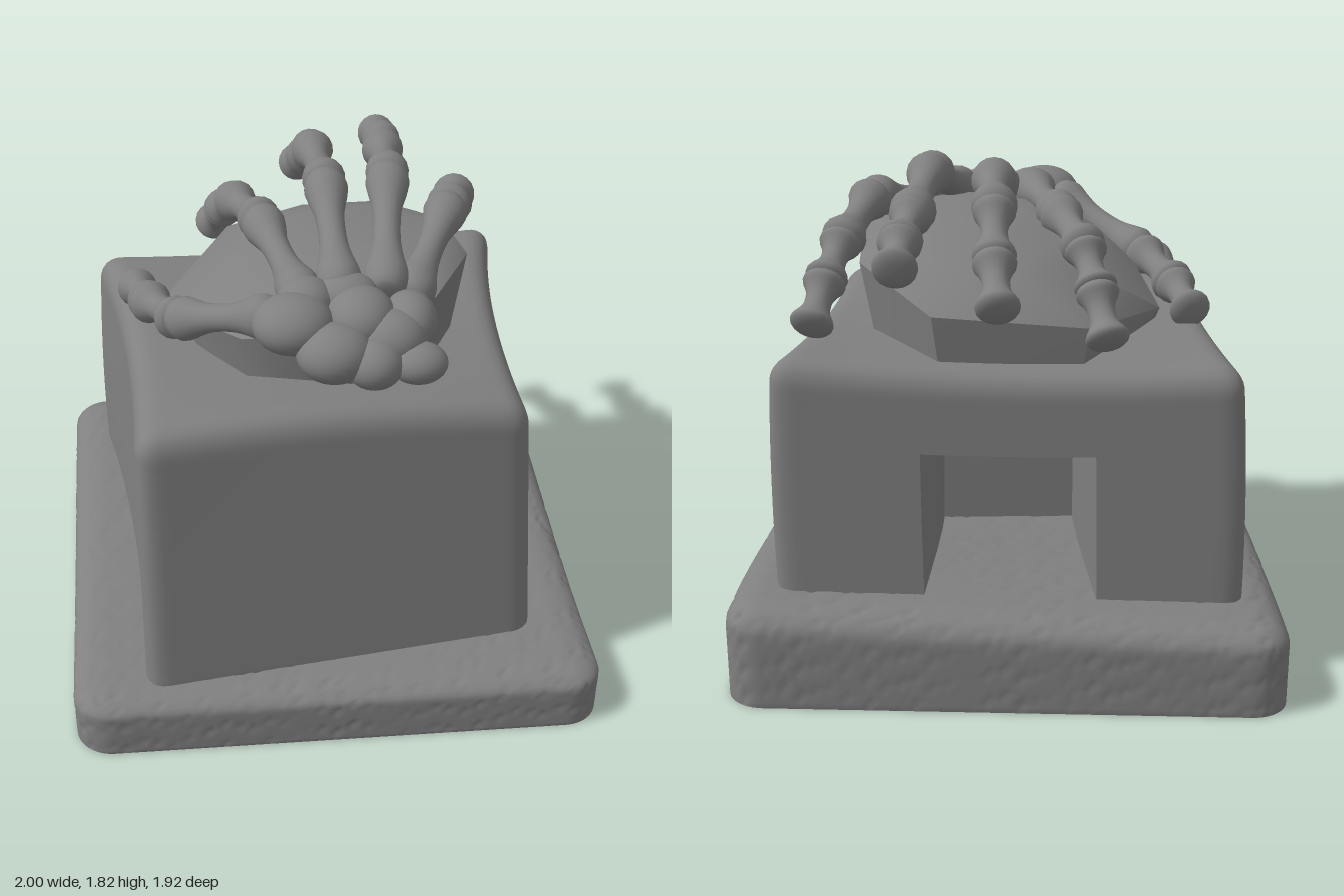
import * as THREE from 'three';
import { mergeVertices, toCreasedNormals } from 'three/addons/utils/BufferGeometryUtils.js';
import { ConvexGeometry } from 'three/addons/geometries/ConvexGeometry.js';

const stone = new THREE.MeshStandardMaterial({ color: 0x808080 });
const stoneDouble = new THREE.MeshStandardMaterial({ color: 0x808080, side: THREE.DoubleSide });
const { lerp, smoothstep } = THREE.MathUtils;

function addMesh(parent, name, geometry, material = stone) {
  const mesh = new THREE.Mesh(geometry, material);
  mesh.name = name;
  parent.add(mesh);
  return mesh;
}

// Move every vertex of a geometry by a rule
function deform(geometry, rule) {
  const pos = geometry.attributes.position;
  const p = new THREE.Vector3();
  for (let i = 0; i < pos.count; i++) {
    rule(p.fromBufferAttribute(pos, i));
    pos.setXYZ(i, p.x, p.y, p.z);
  }
  return geometry;
}

// Cube from -1 to 1 with rounded edges (one radius per axis), then warped
function roundedCube(segments, radius, warp, keepFace = () => true) {
  let geo = new THREE.BoxGeometry(2, 2, 2, ...segments);
  const pos = geo.attributes.position;
  const index = [];
  const c = new THREE.Vector3();
  const v = new THREE.Vector3();
  for (let i = 0; i < geo.index.count; i += 3) {
    const tri = [0, 1, 2].map((k) => geo.index.getX(i + k));
    c.set(0, 0, 0);
    tri.forEach((t) => c.add(v.fromBufferAttribute(pos, t)));
    if (keepFace(c.divideScalar(3))) index.push(...tri);
  }
  geo.setIndex(index);
  const limit = new THREE.Vector3(1, 1, 1).sub(radius);
  const lowLimit = limit.clone().negate();
  deform(geo, (p) => {
    const inner = p.clone().clamp(lowLimit, limit);
    const d = p.clone().sub(inner).divide(radius);
    if (d.lengthSq() > 0) d.multiplyScalar(Math.max(Math.abs(d.x), Math.abs(d.y), Math.abs(d.z)) / d.length());
    p.copy(inner).add(d.multiply(radius));
    warp(p);
  });
  geo.deleteAttribute('normal');
  geo.deleteAttribute('uv');
  geo = mergeVertices(geo, 1e-5);
  geo.computeVertexNormals();
  return geo;
}

// Small shallow pits for the rough stone
function pits(x, y, z) {
  const n = Math.sin(53 * x + 3 * Math.sin(37 * z)) * Math.sin(57 * z + 2 * Math.sin(41 * x)) * Math.cos(61 * y + 19 * x + 17 * z);
  return -0.01 * Math.max(0, n - 0.2);
}

function warpSlab(p) {
  const { x: u, y: v, z: w } = p;
  const x = u * (0.98 - 0.008 * w) + 0.0075 + 0.0225 * w;
  const z = 0.955 * w;
  const height = 0.225 + (0.115 + 0.03 * u) * (1 - smoothstep(w, -0.85, 0.65));
  const y = Math.max(0, (v + 0.6) / 1.6) * height;
  const pit = y > 0 ? pits(x, y, z) : 0;
  p.set(x * (1 + pit), y + (v > 0.7 ? pit : 0), z * (1 + pit));
}

// Crooked block: four leaning corners, waisted sides, uneven top
function warpBlock(p) {
  const { x: u, y: v, z: w } = p;
  const s = (u + 1) / 2, t = (v + 1) / 2, f = (w + 1) / 2;
  const left = lerp(lerp(-0.86, -0.83, t), lerp(-0.68, -0.66, t), f);
  const right = lerp(0.81, lerp(0.79, 0.72, t), f);
  const waist = 1 - 0.065 * (1 - w * w) + 0.02 * (1 - v * v) * (1 - f);
  const back = lerp(-0.71, -0.77, s);
  const front = lerp(lerp(0.87, 0.81, t), lerp(0.67, 0.6, t), s);
  const top = lerp(lerp(1.18, 1.22, s), lerp(1.29, 1.19, s), f) + 0.04 * (1 - u * u) * w;
  p.set(lerp(left, right, s) * waist, lerp(0.12, top, t), lerp(back, front, f));
}

// Bone with flared ends, lying between two points
const boneProfile = [[0, -0.06], [0.7, -0.05], [1, 0.03], [1.03, 0.11], [0.85, 0.22], [0.68, 0.36],
  [0.64, 0.52], [0.71, 0.68], [0.93, 0.82], [1.05, 0.92], [0.88, 1.0], [0.5, 1.05], [0, 1.06]];
function bone(parent, name, a, b, r) {
  const length = a.distanceTo(b);
  const curve = new THREE.SplineCurve(boneProfile.map(([x, y]) => new THREE.Vector2(x * r, y * length)));
  const points = curve.getPoints(30);
  points.forEach((q) => { q.x = Math.max(0, q.x); });
  const mesh = addMesh(parent, name, new THREE.LatheGeometry(points, 18));
  mesh.position.copy(a);
  mesh.quaternion.setFromUnitVectors(new THREE.Vector3(0, 1, 0), b.clone().sub(a).normalize());
}

export function createModel() {
  const model = new THREE.Group();
  model.name = 'skeletonHandOnStone';

  // Ground slab
  addMesh(model, 'groundSlab', roundedCube([100, 20, 100], new THREE.Vector3(0.14, 0.4, 0.14), warpSlab));

  // Block with a doorway cut in the back face
  const door = { half: 0.36, top: 0.44, depth: 0.2 };
  const outsideDoor = (c) => !(c.z < -0.999 && Math.abs(c.x) < door.half && c.y < door.top);
  addMesh(model, 'block', roundedCube([50, 50, 50], new THREE.Vector3(0.11, 0.17, 0.11), warpBlock, outsideDoor));

  // Inside walls of the doorway, open at the back
  const niche = new THREE.BoxGeometry(2 * door.half, door.top + 1, door.depth + 1, 18, 36, 15);
  niche.translate(0, (door.top - 1) / 2, (door.depth - 1) / 2);
  niche.setIndex(Array.from(niche.index.array).slice(0, niche.groups[5].start));
  niche.clearGroups();
  deform(niche, warpBlock);
  niche.computeVertexNormals();
  addMesh(model, 'doorway', niche, stoneDouble);

  // Boulder under the hand
  const rim = [[-0.29, 1.3, -0.64], [0.25, 1.34, -0.66], [0.53, 1.45, -0.35], [0.56, 1.52, 0.06], [0.4, 1.52, 0.36],
    [0.1, 1.46, 0.5], [-0.28, 1.42, 0.42], [-0.46, 1.35, 0.15], [-0.55, 1.25, -0.19]];
  const crown = [[0.5, 1.57, -0.08], [0.2, 1.58, 0.3], [0, 1.59, 0], [-0.15, 1.53, 0.33], [-0.2, 1.53, -0.25],
    [0.22, 1.55, -0.3], [0.35, 1.59, 0.1], [-0.36, 1.45, 0], [0, 1.46, -0.5], [0.3, 1.48, -0.47], [-0.3, 1.43, -0.4],
    [0.1, 1.6, 0.14], [-0.3, 1.48, 0.2], [0.42, 1.54, -0.25]];
  const foot = rim.map(([x, , z]) => [x * 0.88, 1.08, z * 0.95]);
  const rock = new ConvexGeometry([...rim, ...crown, ...foot].map((q) => new THREE.Vector3(...q)));
  addMesh(model, 'boulder', toCreasedNormals(rock, 0.85));

  // Hand: joints of each finger from wrist to tip
  const hand = new THREE.Group();
  hand.name = 'hand';
  model.add(hand);
  const fingers = {
    thumb: [[-0.18, 1.53, 0.46], [-0.5, 1.37, 0.18], [-0.61, 1.31, -0.06], [-0.66, 1.26, -0.26]],
    indexFinger: [[-0.07, 1.57, 0.4], [-0.18, 1.59, -0.14], [-0.27, 1.53, -0.43], [-0.31, 1.42, -0.58], [-0.35, 1.28, -0.73]],
    middleFinger: [[0.06, 1.59, 0.39], [0.06, 1.72, -0.17], [0.04, 1.69, -0.53], [0.03, 1.56, -0.74], [0.01, 1.44, -0.93]],
    ringFinger: [[0.22, 1.58, 0.38], [0.29, 1.745, -0.16], [0.32, 1.67, -0.55], [0.34, 1.62, -0.74], [0.34, 1.57, -0.92]],
    littleFinger: [[0.31, 1.53, 0.36], [0.51, 1.64, -0.1], [0.585, 1.54, -0.39], [0.62, 1.44, -0.56], [0.65, 1.32, -0.72]],
  };
  for (const [name, joints] of Object.entries(fingers)) {
    const finger = new THREE.Group();
    finger.name = name;
    hand.add(finger);
    const pts = joints.map((q) => new THREE.Vector3(...q));
    for (let i = 0; i < pts.length - 1; i++) {
      bone(finger, `${name}Bone${i + 1}`, pts[i], pts[i + 1], i < 2 ? 0.077 : 0.072);
    }
  }

  // Wrist bones: position, then half sizes
  const wrist = [
    [-0.11, 1.54, 0.53, 0.14, 0.1, 0.13], [-0.06, 1.57, 0.43, 0.1, 0.08, 0.1], [0.12, 1.54, 0.5, 0.12, 0.1, 0.13],
    [0.29, 1.51, 0.49, 0.095, 0.1, 0.12], [0.02, 1.48, 0.63, 0.13, 0.1, 0.12], [0.15, 1.45, 0.66, 0.1, 0.085, 0.1],
    [0.3, 1.44, 0.65, 0.1, 0.07, 0.085], [0.22, 1.49, 0.57, 0.12, 0.1, 0.11], [0.08, 1.58, 0.41, 0.11, 0.07, 0.09],
  ];
  wrist.forEach(([x, y, z, a, b, c], i) => {
    const mesh = addMesh(hand, `wristBone${i + 1}`, new THREE.SphereGeometry(1, 24, 16));
    mesh.position.set(x, y, z);
    mesh.scale.set(a, b, c);
  });
  return model;
}
